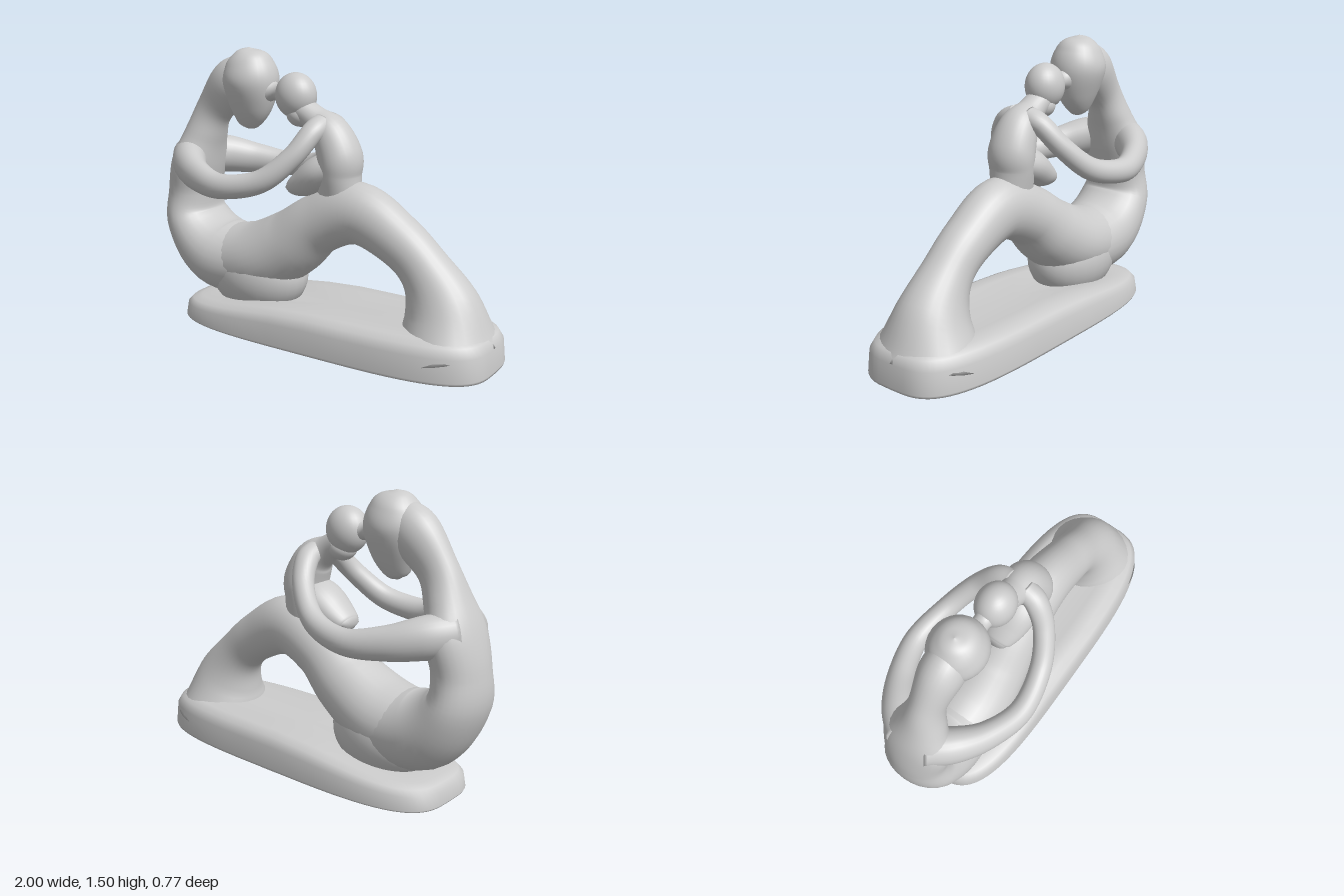
import * as THREE from 'three';

const material = new THREE.MeshStandardMaterial({ color: 0xcccccc });
const SIDES = 28;

// Skin a list of rings (each counter-clockwise about the direction of travel) and close both ends.
function loft(name, rings) {
  const n = rings[0].length, last = rings.length - 1;
  const centre = (r) => r.reduce((s, p) => s.add(p), new THREE.Vector3()).divideScalar(n);
  const points = [...rings.flat(), centre(rings[0]), centre(rings[last])];
  const start = points.length - 2, end = points.length - 1, index = [];
  for (let j = 0; j < n; j++) {
    const k = (j + 1) % n;
    for (let i = 0; i < last; i++) {
      const a = i * n + j, b = i * n + k;
      index.push(a, b, a + n, b, b + n, a + n);
    }
    index.push(start, k, j, end, last * n + j, last * n + k);
  }
  const geometry = new THREE.BufferGeometry().setFromPoints(points);
  geometry.setIndex(index);
  geometry.computeVertexNormals();
  const mesh = new THREE.Mesh(geometry, material);
  mesh.name = name;
  return mesh;
}

// Sweep an ellipse along stations [x, y, z, thickness, half width along the side axis].
function limb(name, stations, side = new THREE.Vector3(0, 0, 1)) {
  const path = new THREE.CatmullRomCurve3(stations.map((s) => new THREE.Vector3(s[0], s[1], s[2])), false, 'catmullrom');
  const size = new THREE.CatmullRomCurve3(stations.map((s) => new THREE.Vector3(s[3], s[4], 0)), false, 'catmullrom');
  const steps = (stations.length - 1) * 7, rings = [];
  for (let i = 0; i <= steps; i++) {
    const p = path.getPoint(i / steps), r = size.getPoint(i / steps), t = path.getTangent(i / steps);
    const b = side.clone().addScaledVector(t, -side.dot(t)).normalize();
    const nrm = new THREE.Vector3().crossVectors(b, t);
    rings.push(Array.from({ length: SIDES }, (_, j) => {
      const a = (j / SIDES) * Math.PI * 2;
      return p.clone().addScaledVector(nrm, Math.max(r.x, 0.002) * Math.cos(a)).addScaledVector(b, Math.max(r.y, 0.002) * Math.sin(a));
    }));
  }
  return loft(name, rings);
}

function ellipsoid(name, [x, y, z], [rx, ry, rz], tilt = 0) {
  const mesh = new THREE.Mesh(new THREE.SphereGeometry(1, 28, 20), material);
  mesh.position.set(x, y, z);
  mesh.scale.set(rx, ry, rz);
  mesh.rotation.z = tilt;
  mesh.name = name;
  return mesh;
}

// Long rounded plinth whose top rises gently from the back to the feet.
function plinth() {
  const layers = [[0.02, 0], [0.004, 0.01], [0, 0.08], [0.01, 0.65], [0.035, 0.88], [0.08, 0.98], [0.16, 1]];
  const power = (v) => Math.sign(v) * Math.abs(v) ** (2 / 3.5);
  return loft('plinth', layers.map(([inset, level]) => Array.from({ length: 72 }, (_, j) => {
    const a = (j / 72) * Math.PI * 2;
    const x = 0.08 + (0.915 - inset) * power(Math.cos(a));
    const height = 0.115 + 0.085 * THREE.MathUtils.smoothstep(x, -0.85, 0.1);
    return new THREE.Vector3(x, height * level, -(0.335 - inset) * power(Math.sin(a)));
  })));
}

export function createModel() {
  const model = new THREE.Group();
  model.name = 'seatedParentAndChild';
  model.add(plinth());

  // Seated parent: hips, curved back and neck, folded legs
  model.add(ellipsoid('hips', [-0.43, 0.27, 0], [0.3, 0.23, 0.215]));
  model.add(limb('torso', [
    [-0.4, 0.31, 0, 0.19, 0.2], [-0.68, 0.345, 0, 0.2, 0.225], [-0.85, 0.51, 0, 0.145, 0.21],
    [-0.865, 0.68, 0, 0.13, 0.175], [-0.825, 0.86, 0, 0.125, 0.19], [-0.775, 1.01, 0, 0.11, 0.13],
    [-0.71, 1.15, 0, 0.105, 0.09], [-0.58, 1.3, 0, 0.13, 0.11], [-0.47, 1.37, 0, 0.1, 0.09],
  ]));
  model.add(limb('legs', [
    [-0.62, 0.32, 0, 0.19, 0.2], [-0.4, 0.36, 0, 0.195, 0.215], [-0.2, 0.465, 0, 0.185, 0.19],
    [-0.02, 0.605, 0, 0.16, 0.16], [0.21, 0.692, 0, 0.163, 0.142], [0.45, 0.585, 0, 0.135, 0.128],
    [0.6, 0.455, 0, 0.135, 0.13], [0.695, 0.29, 0, 0.195, 0.18], [0.74, 0.08, 0, 0.25, 0.295],
  ]));

  // Parent's head, egg shaped with a narrow chin
  model.add(limb('parentHead', [
    [-0.485, 1.065, 0, 0.01, 0.01], [-0.48, 1.09, 0, 0.065, 0.05], [-0.465, 1.19, 0, 0.125, 0.105],
    [-0.46, 1.32, 0, 0.155, 0.148], [-0.465, 1.42, 0, 0.128, 0.12], [-0.47, 1.475, 0, 0.075, 0.07], [-0.47, 1.497, 0, 0, 0],
  ]));

  // Arms ring outwards and meet at the child's shoulders
  const up = new THREE.Vector3(0, 1, 0);
  for (const s of [1, -1]) {
    model.add(limb(s > 0 ? 'frontArm' : 'backArm', [
      [-0.85, 0.88, 0.05 * s, 0.1, 0.11], [-0.76, 0.865, 0.165 * s, 0.09, 0.105], [-0.62, 0.835, 0.265 * s, 0.07, 0.085],
      [-0.42, 0.815, 0.325 * s, 0.06, 0.066], [-0.2, 0.86, 0.285 * s, 0.056, 0.06], [-0.06, 0.985, 0.205 * s, 0.055, 0.055],
      [0.0, 1.1, 0.115 * s, 0.06, 0.055], [0.01, 1.14, 0.03 * s, 0.06, 0.055],
    ], up));
  }

  // Child: head touching the parent's face, body and tucked legs
  model.add(ellipsoid('childHead', [-0.17, 1.265, 0], [0.113, 0.12, 0.1]));
  model.add(ellipsoid('childChin', [-0.14, 1.17, 0], [0.075, 0.065, 0.075]));
  model.add(limb('kiss', [[-0.36, 1.28, 0, 0.08, 0.08], [-0.29, 1.275, 0, 0.045, 0.045], [-0.21, 1.27, 0, 0.075, 0.07]]));
  model.add(limb('childBody', [
    [-0.13, 1.2, 0, 0.065, 0.07], [-0.045, 1.15, 0, 0.07, 0.075], [0.045, 1.085, 0, 0.1, 0.105],
    [0.1, 0.97, 0, 0.115, 0.125], [0.1, 0.88, 0, 0.11, 0.12], [0.1, 0.76, 0, 0.12, 0.1],
  ]));
  model.add(limb('childLegs', [
    [0.12, 0.92, 0, 0.08, 0.11], [0.0, 0.88, 0, 0.095, 0.125], [-0.1, 0.82, 0, 0.08, 0.11], [-0.175, 0.785, 0, 0.05, 0.08], [-0.185, 0.78, 0, 0.03, 0.055],
  ]));
  return model;
}
